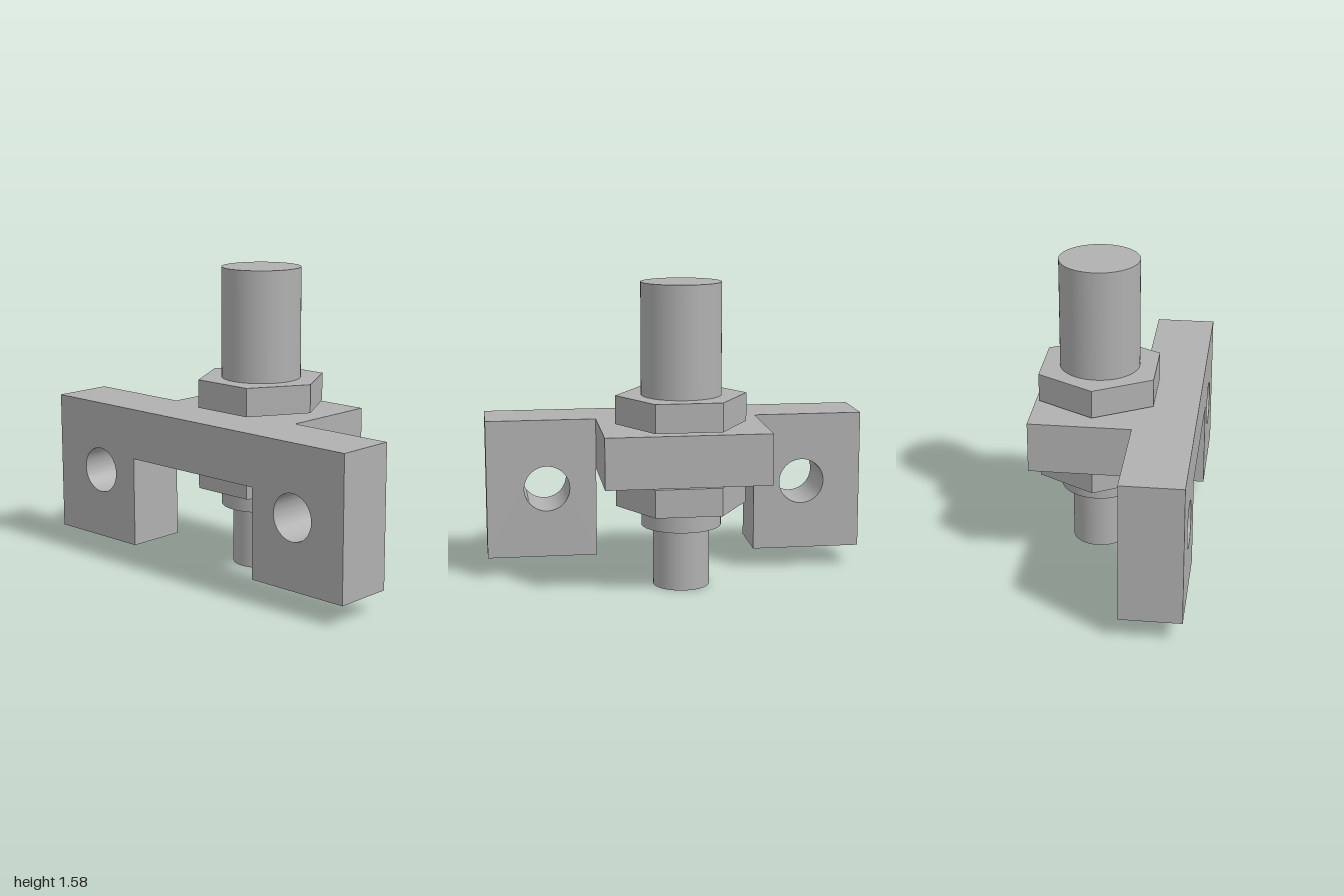
import * as THREE from 'three';
import { toCreasedNormals } from 'three/addons/utils/BufferGeometryUtils.js';

export function createModel() {
  const model = new THREE.Group();
  model.name = 'sensorBracket';
  const steel = new THREE.MeshStandardMaterial({ color: 0xb0b0b0 });
  steel.name = 'steel grey';

  const axisZ = -0.105; // centre line of the rod and nuts
  const add = (name, geometry, x, y, z) => {
    const mesh = new THREE.Mesh(geometry, steel);
    mesh.name = name;
    mesh.position.set(x, y, z);
    model.add(mesh);
    return mesh;
  };

  // Front plate: an upside-down U with a bolt hole in each leg
  const outline = [
    [-1, 0.11], [-0.423, 0.11], [-0.423, 0.58], [0.423, 0.58],
    [0.423, 0.11], [1, 0.11], [1, 0.845], [-1, 0.845],
  ];
  const shape = new THREE.Shape(outline.map(([x, y]) => new THREE.Vector2(x, y)));
  for (const side of [-1, 1]) {
    const hole = new THREE.Path();
    hole.absarc(side * 0.683, 0.477, 0.12, 0, Math.PI * 2, true);
    shape.holes.push(hole);
  }
  const plate = new THREE.ExtrudeGeometry(shape, { depth: 0.315, bevelEnabled: false, curveSegments: 48 });
  add('frontPlate', toCreasedNormals(plate, 0.5), 0, 0, 0.105);

  // Shelf that carries the rod behind the plate
  add('shelf', new THREE.BoxGeometry(0.846, 0.265, 0.525), 0, 0.7125, -0.1575);

  // Stepped rod: wide barrel with a narrower tip below
  const cylinder = (name, radius, bottom, top) =>
    add(name, new THREE.CylinderGeometry(radius, radius, top - bottom, 64), 0, (bottom + top) / 2, axisZ);
  cylinder('barrel', 0.207, 0.32, 1.58);
  cylinder('tip', 0.146, 0, 0.32);

  // Hexagonal nuts clamping the shelf, corners pointing left and right
  const nut = (name, bottom, top) => {
    const hex = new THREE.CylinderGeometry(0.34, 0.34, top - bottom, 6);
    hex.rotateY(Math.PI / 6);
    add(name, toCreasedNormals(hex, 0.5), 0, (bottom + top) / 2, axisZ);
  };
  nut('upperNut', 0.855, 1.003);
  nut('lowerNut', 0.425, 0.57);

  return model;
}
